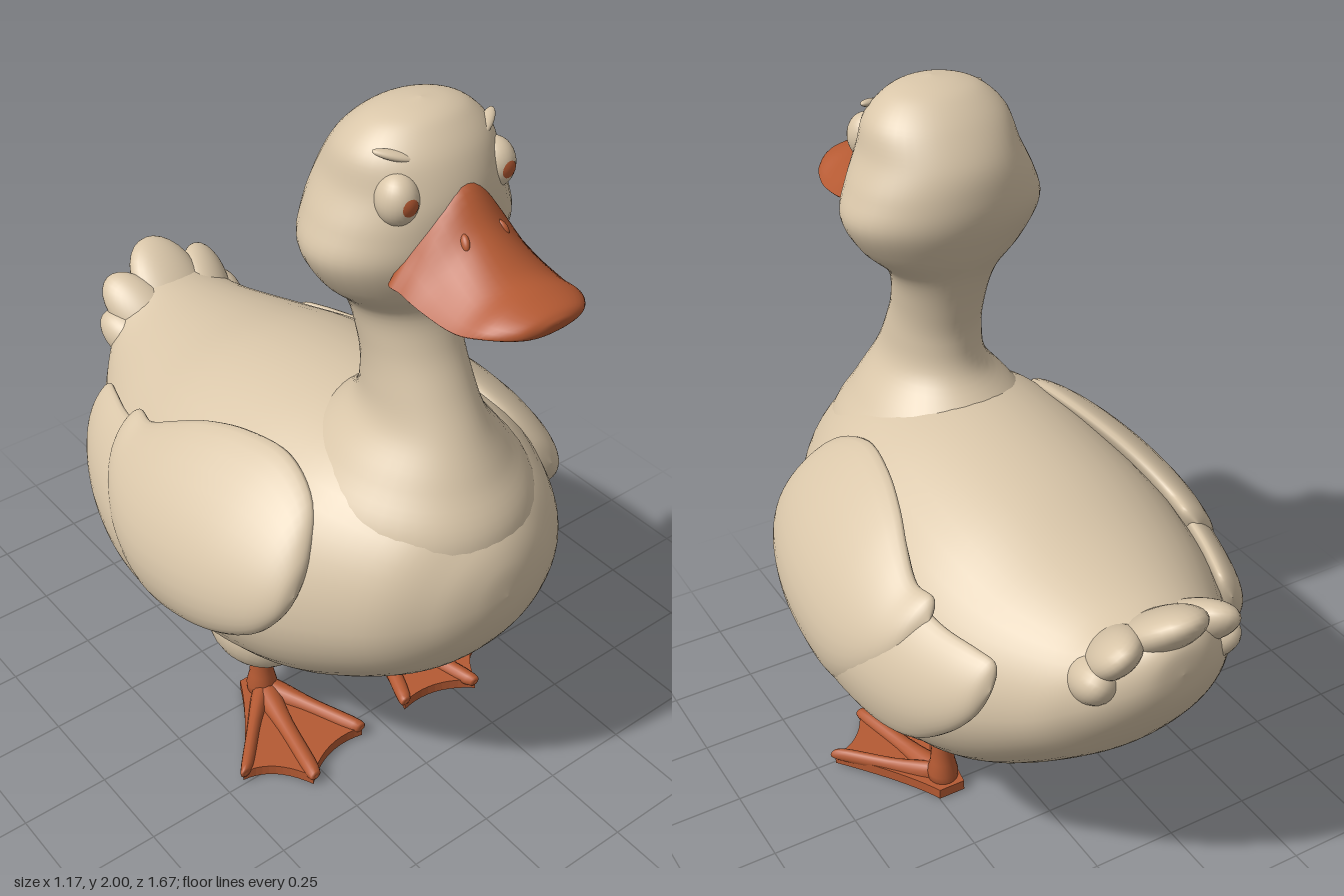
import * as THREE from 'three';

const plumage = new THREE.MeshStandardMaterial({ color: 0xd9c6a9 });
plumage.name = 'cream plumage';
const orange = new THREE.MeshStandardMaterial({ color: 0xb55a33 });
orange.name = 'burnt orange';

function mesh(parent, name, geometry, material) {
  const m = new THREE.Mesh(geometry, material);
  m.name = name;
  parent.add(m);
  return m;
}

// Smooth closed skin through key sections; point(section, angle) gives [x, y, z]
function loft(keys, point, steps = 6, sides = 40) {
  const rows = [];
  for (let i = 0; i < keys.length - 1; i++) {
    const [a, b, c, d] = [keys[Math.max(i - 1, 0)], keys[i], keys[i + 1], keys[Math.min(i + 2, keys.length - 1)]];
    for (let s = 0; s < steps; s++) {
      const t = s / steps;
      rows.push(b.map((v, k) => 0.5 * (2 * v + (c[k] - a[k]) * t + (2 * a[k] - 5 * v + 4 * c[k] - d[k]) * t * t
        + (3 * v - a[k] - 3 * c[k] + d[k]) * t ** 3)));
    }
  }
  rows.push(keys[keys.length - 1]);
  const pos = [], index = [];
  rows.forEach((row, r) => {
    for (let j = 0; j < sides; j++) {
      pos.push(...point(row, j / sides * Math.PI * 2));
      if (r === rows.length - 1) continue;
      const p = r * sides + j, q = r * sides + (j + 1) % sides;
      index.push(p, q, p + sides, q, q + sides, p + sides);
    }
  });
  // Signed volume decides which way the faces must wind
  let volume = 0;
  const P = i => new THREE.Vector3().fromArray(pos, i * 3);
  for (let i = 0; i < index.length; i += 3) volume += P(index[i]).dot(P(index[i + 1]).cross(P(index[i + 2])));
  if (volume < 0) index.reverse();
  const g = new THREE.BufferGeometry();
  g.setAttribute('position', new THREE.Float32BufferAttribute(pos, 3));
  g.setIndex(index);
  g.computeVertexNormals();
  return g;
}

function ellipsoid(parent, name, material, p, r, rot = [0, 0, 0]) {
  const m = mesh(parent, name, new THREE.SphereGeometry(1, 28, 18), material);
  m.position.set(...p);
  m.scale.set(...r);
  m.rotation.set(...rot);
  return m;
}

// Wing layer: sections [z, bottom, top, half thickness], wrapped over the flank
function wingLayer(keys, s, out) {
  return loft(keys, ([z, lo, hi, t], a) => {
    const y = (lo + hi) / 2 + (hi - lo) / 2 * Math.sin(a);
    const lean = 0.52 - 1.25 * Math.max(0, y - 0.65) ** 2;
    const taper = z < 0 ? 0.42 * z * z : 0.25 * z * z;
    return [s * (lean - taper + out + t * Math.cos(a)), y, z];
  }, 5, 32);
}

function foot(parent, s) {
  const g = new THREE.Group();
  g.name = s > 0 ? 'leftFoot' : 'rightFoot';
  parent.add(g);
  // Web with scalloped front edge, drawn in x and -z
  const web = new THREE.Shape();
  web.moveTo(s * 0.17, 0.05);
  web.lineTo(s * 0.25, 0.05);
  web.quadraticCurveTo(s * 0.30, -0.06, s * 0.445, -0.24);
  web.quadraticCurveTo(s * 0.35, -0.25, s * 0.30, -0.37);
  web.quadraticCurveTo(s * 0.20, -0.28, s * 0.08, -0.31);
  web.quadraticCurveTo(s * 0.15, -0.10, s * 0.17, 0.05);
  const webGeo = new THREE.ExtrudeGeometry(web, { depth: 0.032, bevelEnabled: false, curveSegments: 10 });
  mesh(g, 'web', webGeo.rotateX(-Math.PI / 2), orange);
  // Toes
  for (const [x, z] of [[0.43, 0.235], [0.29, 0.355], [0.09, 0.295]]) {
    mesh(g, 'toe', loft([
      [0.21, 0.0, 0], [0.21, 0.01, 0.04],
      [0.21 + (x - 0.21) * 0.5, z * 0.5, 0.026],
      [x, z, 0.022], [x + (x - 0.21) * 0.06, z * 1.05, 0]
    ], ([cx, cz, r], a) => [s * (cx + r * Math.cos(a)), 0.032 + r * 0.9 * Math.sin(a), cz], 4, 12), orange);
  }
  // Shank flaring into the ankle
  const shank = [[0, 0], [0.042, 0], [0.045, 0.05], [0.036, 0.09], [0.031, 0.14], [0.033, 0.27], [0, 0.27]];
  const leg = mesh(g, 'shank', new THREE.LatheGeometry(shank.map(p => new THREE.Vector2(...p)), 20), orange);
  leg.position.set(s * 0.21, 0.005, 0.005);
}

export function createModel() {
  const duck = new THREE.Group();
  duck.name = 'duck';

  // Body: [z, bottom, top, half width], widest below the middle
  mesh(duck, 'body', loft([
    [0.757, 0.82, 0.82, 0], [0.745, 0.73, 0.91, 0.09], [0.70, 0.62, 0.99, 0.20], [0.6, 0.495, 1.08, 0.325],
    [0.4, 0.36, 1.14, 0.44], [0.2, 0.275, 1.15, 0.485], [0, 0.235, 1.135, 0.495], [-0.2, 0.265, 1.10, 0.485],
    [-0.4, 0.365, 1.045, 0.43], [-0.6, 0.53, 1.01, 0.31], [-0.7, 0.645, 1.02, 0.225], [-0.77, 0.75, 1.02, 0.15],
    [-0.81, 0.84, 0.99, 0.08], [-0.82, 0.92, 0.92, 0]
  ], ([z, lo, hi, w], a) => {
    const mid = lo + (hi - lo) * 0.45, sn = Math.sin(a);
    return [w * Math.cos(a), mid + sn * (sn > 0 ? hi - mid : mid - lo), z];
  }, 6, 48), plumage);

  // Neck and head: [y, back z, front z, half width]
  mesh(duck, 'neckAndHead', loft([
    [0.80, 0.1, 0.72, 0.30], [0.98, 0.02, 0.715, 0.30], [1.1, 0.11, 0.65, 0.22], [1.2, 0.215, 0.592, 0.145],
    [1.3, 0.237, 0.535, 0.125], [1.4, 0.222, 0.487, 0.125], [1.5, 0.192, 0.467, 0.148], [1.58, 0.155, 0.505, 0.225],
    [1.67, 0.123, 0.53, 0.272], [1.75, 0.117, 0.538, 0.25], [1.83, 0.133, 0.535, 0.212], [1.91, 0.185, 0.505, 0.188],
    [1.965, 0.245, 0.46, 0.135], [1.99, 0.30, 0.42, 0.075], [2.0, 0.365, 0.365, 0]
  ], ([y, b, f, w], a) => [w * Math.cos(a), y, (b + f) / 2 + (f - b) / 2 * Math.sin(a)], 6, 44), plumage);

  // Tail feathers
  ellipsoid(duck, 'middleTailFeather', plumage, [0, 0.985, -0.72], [0.105, 0.055, 0.15], [0.68, 0, 0]);
  for (const s of [-1, 1]) {
    ellipsoid(duck, 'sideTailFeather', plumage, [s * 0.115, 0.945, -0.69], [0.08, 0.055, 0.14], [0.6, s * -0.3, s * -0.45]);
    ellipsoid(duck, 'lowerTailFeather', plumage, [s * 0.15, 0.87, -0.66], [0.07, 0.07, 0.13], [0.5, s * -0.4, s * -0.8]);
  }

  // Upper bill: [z, mouth line y, top y, half width, ridge sharpness]
  mesh(duck, 'upperBill', loft([
    [0.47, 1.65, 1.86, 0, 0.5], [0.48, 1.65, 1.865, 0.17, 0.5], [0.53, 1.645, 1.855, 0.182, 0.5],
    [0.6, 1.63, 1.775, 0.178, 0.45], [0.69, 1.622, 1.71, 0.168, 0.3], [0.76, 1.635, 1.692, 0.145, 0.12],
    [0.81, 1.642, 1.678, 0.10, 0], [0.828, 1.648, 1.665, 0.05, 0], [0.832, 1.655, 1.655, 0, 0]
  ], ([z, y, top, w, k], a) => {
    const sn = Math.sin(a), up = Math.max(0, sn);
    return [w * Math.cos(a) * (1 - k * up ** 0.7), y + (sn > 0 ? (top - y) * sn : 0.02 * sn * Math.min(1, w * 12)), z];
  }, 5, 32), orange);

  // Lower bill: [z, centre y, half height, half width]
  mesh(duck, 'lowerBill', loft([
    [0.46, 1.61, 0, 0], [0.48, 1.61, 0.045, 0.13], [0.55, 1.605, 0.045, 0.14], [0.65, 1.605, 0.03, 0.135],
    [0.74, 1.618, 0.022, 0.11], [0.785, 1.628, 0.014, 0.06], [0.8, 1.63, 0, 0]
  ], ([z, y, h, w], a) => [w * Math.cos(a), y + h * Math.sin(a), z], 4, 28), orange);

  for (const s of [-1, 1]) {
    const side = s > 0 ? 'left' : 'right';
    ellipsoid(duck, side + 'Nostril', orange, [s * 0.055, 1.755, 0.588], [0.01, 0.022, 0.014], [-0.7, 0, s * 0.25]);

    // Eye with a painted pupil cap
    const eye = new THREE.Group();
    eye.name = side + 'Eye';
    eye.position.set(s * 0.139, 1.835, 0.458);
    eye.rotation.y = s * 0.12;
    duck.add(eye);
    ellipsoid(eye, 'eyeball', plumage, [0, 0, 0], [0.05, 0.062, 0.054]);
    const pupil = mesh(eye, 'pupil', new THREE.SphereGeometry(1.03, 16, 4, 0, Math.PI * 2, 0, 0.42).rotateX(Math.PI / 2), orange);
    pupil.scale.set(0.05, 0.05, 0.054);
    pupil.rotation.y = s * -0.05;

    // Brow ridge
    ellipsoid(duck, side + 'Brow', plumage, [s * 0.132, 1.928, 0.437], [0.05, 0.011, 0.016], [0, s * 0.6, s * 0.25]);

    // Wing: long flight feathers under a shorter covert layer
    const wing = new THREE.Group();
    wing.name = side + 'Wing';
    duck.add(wing);
    mesh(wing, 'flightFeathers', wingLayer([
      [0.25, 0.72, 0.72, 0], [0.2, 0.62, 0.82, 0.04], [0.05, 0.565, 0.9, 0.055], [-0.1, 0.548, 0.92, 0.055],
      [-0.25, 0.548, 0.915, 0.05], [-0.36, 0.58, 0.9, 0.046], [-0.46, 0.66, 0.893, 0.04],
      [-0.52, 0.74, 0.88, 0.028], [-0.54, 0.82, 0.82, 0]
    ], s, 0), plumage);
    mesh(wing, 'coverts', wingLayer([
      [0.462, 0.84, 0.84, 0], [0.445, 0.775, 0.93, 0.035], [0.38, 0.695, 1.025, 0.058], [0.25, 0.62, 1.077, 0.07],
      [0.1, 0.575, 1.072, 0.07], [-0.03, 0.565, 1.04, 0.066], [-0.13, 0.61, 0.995, 0.06],
      [-0.22, 0.70, 0.95, 0.05], [-0.29, 0.80, 0.945, 0.035], [-0.32, 0.90, 0.90, 0]
    ], s, 0.008), plumage);

    // Thigh bulge and webbed foot
    ellipsoid(duck, side + 'Thigh', plumage, [s * 0.225, 0.36, 0.03], [0.145, 0.155, 0.17], [0, 0, s * 0.3]);
    foot(duck, s);
  }
  return duck;
}
